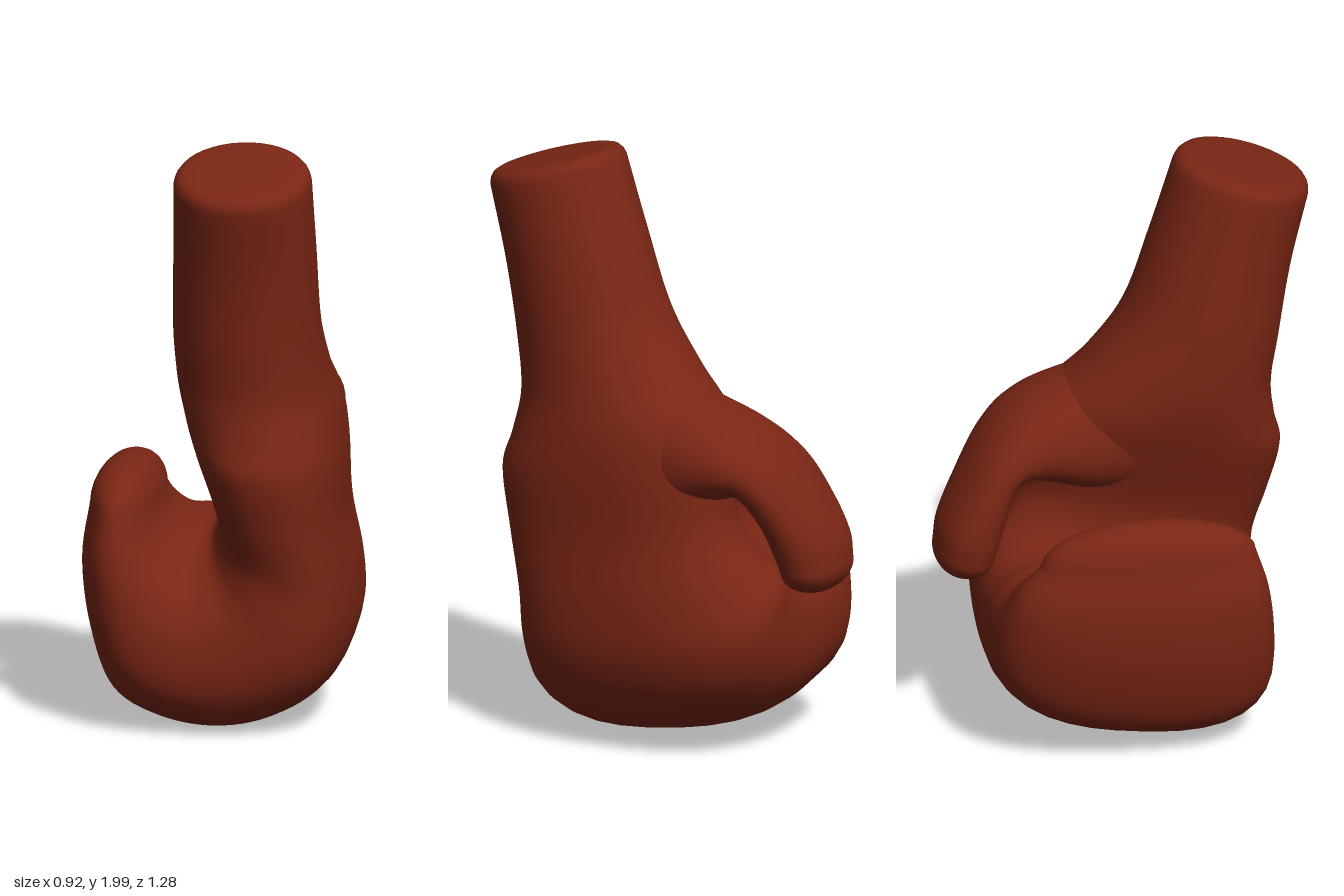
import * as THREE from 'three';

const SIDES = 40;
const V = (x, y, z) => new THREE.Vector3(x, y, z);

// Superellipse loft. Each section: inner edge I, outer edge O, half-width vector B, exponent n.
// Caps are lists of [scale, offset] rings that close each end.
function loft(sections, steps, startCap, endCap) {
  const spline = key => new THREE.CatmullRomCurve3(sections.map(s => s[key]), false, 'catmullrom', 0.5);
  const inner = spline('I'), outer = spline('O'), width = spline('B');
  const expo = new THREE.CatmullRomCurve3(sections.map(s => V(s.n, 0, 0)), false, 'catmullrom', 0.5);
  const pos = [], index = [];
  const ring = (t, scale = 1, offset = 0) => {
    const I = inner.getPoint(t), O = outer.getPoint(t), B = width.getPoint(t);
    const n = expo.getPoint(t).x;
    const mid = I.clone().add(O).multiplyScalar(0.5);
    const A = O.sub(I).multiplyScalar(0.5);
    mid.addScaledVector(A.clone().cross(B).normalize(), offset);
    for (let j = 0; j < SIDES; j++) {
      const a = j / SIDES * Math.PI * 2, c = Math.cos(a), s = Math.sin(a);
      const r = scale / Math.pow(Math.abs(c) ** n + Math.abs(s) ** n, 1 / n);
      const p = mid.clone().addScaledVector(A, c * r).addScaledVector(B, s * r);
      pos.push(p.x, p.y, p.z);
    }
  };
  startCap.forEach(([s, o]) => ring(0, s, -o));
  for (let i = 0; i <= steps; i++) ring(i / steps);
  endCap.forEach(([s, o]) => ring(1, s, o));
  const rings = pos.length / 3 / SIDES;
  for (let i = 0; i < rings - 1; i++) {
    for (let j = 0; j < SIDES; j++) {
      const a = i * SIDES + j, b = i * SIDES + (j + 1) % SIDES;
      index.push(a, b, a + SIDES, b, b + SIDES, a + SIDES);
    }
  }
  const geo = new THREE.BufferGeometry();
  geo.setAttribute('position', new THREE.Float32BufferAttribute(pos, 3));
  geo.setIndex(index);
  geo.computeVertexNormals();
  return geo;
}

// Rounded end of a given height
function dome(height) {
  return [1, 2, 3, 4, 5, 6, 7, 8].map(k => {
    const a = k / 8 * Math.PI / 2;
    return [k === 8 ? 0 : Math.cos(a), height * Math.sin(a)];
  });
}

export function createModel() {
  const group = new THREE.Group();
  group.name = 'curledHand';
  const material = new THREE.MeshStandardMaterial({ color: 0x7a2614, side: THREE.DoubleSide });
  const add = (name, geo) => {
    const mesh = new THREE.Mesh(geo, material);
    mesh.name = name;
    group.add(mesh);
  };

  // Forearm, palm and fingers: inner x, y, outer x, y, centre z, half depth, tilt, exponent
  const hand = [
    [-0.11, 1.90, 0.35, 1.90, 0.41, 0.225, -0.27, 2],
    [-0.12, 1.65, 0.355, 1.65, 0.34, 0.235, -0.26, 2],
    [-0.13, 1.40, 0.36, 1.40, 0.275, 0.26, -0.24, 2],
    [-0.125, 1.22, 0.38, 1.22, 0.20, 0.31, -0.2, 2.1],
    [-0.10, 1.08, 0.41, 1.08, 0.14, 0.385, -0.15, 2.3],
    [-0.06, 0.95, 0.425, 0.94, 0.13, 0.42, -0.1, 2.4],
    [-0.01, 0.79, 0.43, 0.72, 0.10, 0.41, -0.1, 2.4],
    [0.00, 0.70, 0.455, 0.50, 0.03, 0.435, -0.12, 2.4],
    [-0.02, 0.65, 0.45, 0.33, -0.01, 0.47, -0.14, 2.4],
    [-0.04, 0.63, 0.375, 0.17, -0.015, 0.475, -0.15, 2.5],
    [-0.06, 0.625, 0.21, 0.06, -0.015, 0.475, -0.15, 2.6],
    [-0.075, 0.625, 0.01, 0.02, -0.015, 0.475, -0.15, 2.6],
    [-0.09, 0.63, -0.19, 0.05, -0.015, 0.475, -0.14, 2.6],
    [-0.11, 0.64, -0.35, 0.13, -0.015, 0.47, -0.1, 2.5],
    [-0.14, 0.655, -0.432, 0.32, -0.01, 0.455, -0.06, 2.3],
    [-0.18, 0.69, -0.462, 0.55, 0, 0.42, -0.03, 2.2],
    [-0.20, 0.735, -0.436, 0.735, 0.02, 0.36, 0, 2.1],
  ].map(([ix, iy, ox, oy, z, d, tilt, n]) => ({
    I: V(ix, iy, z), O: V(ox, oy, z), B: V(0, d * tilt, d), n,
  }));
  add('forearmPalmAndFingers', loft(hand, 96,
    [[0, 0.045], [0.6, 0.045], [0.84, 0.043], [0.92, 0.036], [0.975, 0.02]], dome(0.13)));

  // Thumb: inner y, z, outer y, z, centre x, half width
  const thumb = [
    [0.82, 0.20, 1.28, 0.08, 0.14, 0.19],
    [0.81, -0.06, 1.205, -0.20, 0.15, 0.225],
    [0.87, -0.26, 1.13, -0.36, 0.135, 0.22],
    [0.89, -0.34, 1.02, -0.475, 0.10, 0.205],
    [0.80, -0.39, 0.87, -0.57, 0.06, 0.185],
    [0.70, -0.42, 0.76, -0.625, 0.04, 0.17],
    [0.635, -0.44, 0.675, -0.64, 0.035, 0.155],
  ].map(([iy, iz, oy, oz, x, w]) => ({ I: V(x, iy, iz), O: V(x, oy, oz), B: V(w, 0, 0), n: 2.2 }));
  add('thumb', loft(thumb, 48, [[0, 0]], dome(0.09)));

  // Stand on the ground
  const box = new THREE.Box3().setFromObject(group);
  group.children.forEach(m => m.geometry.translate(0, -box.min.y, 0));
  return group;
}
